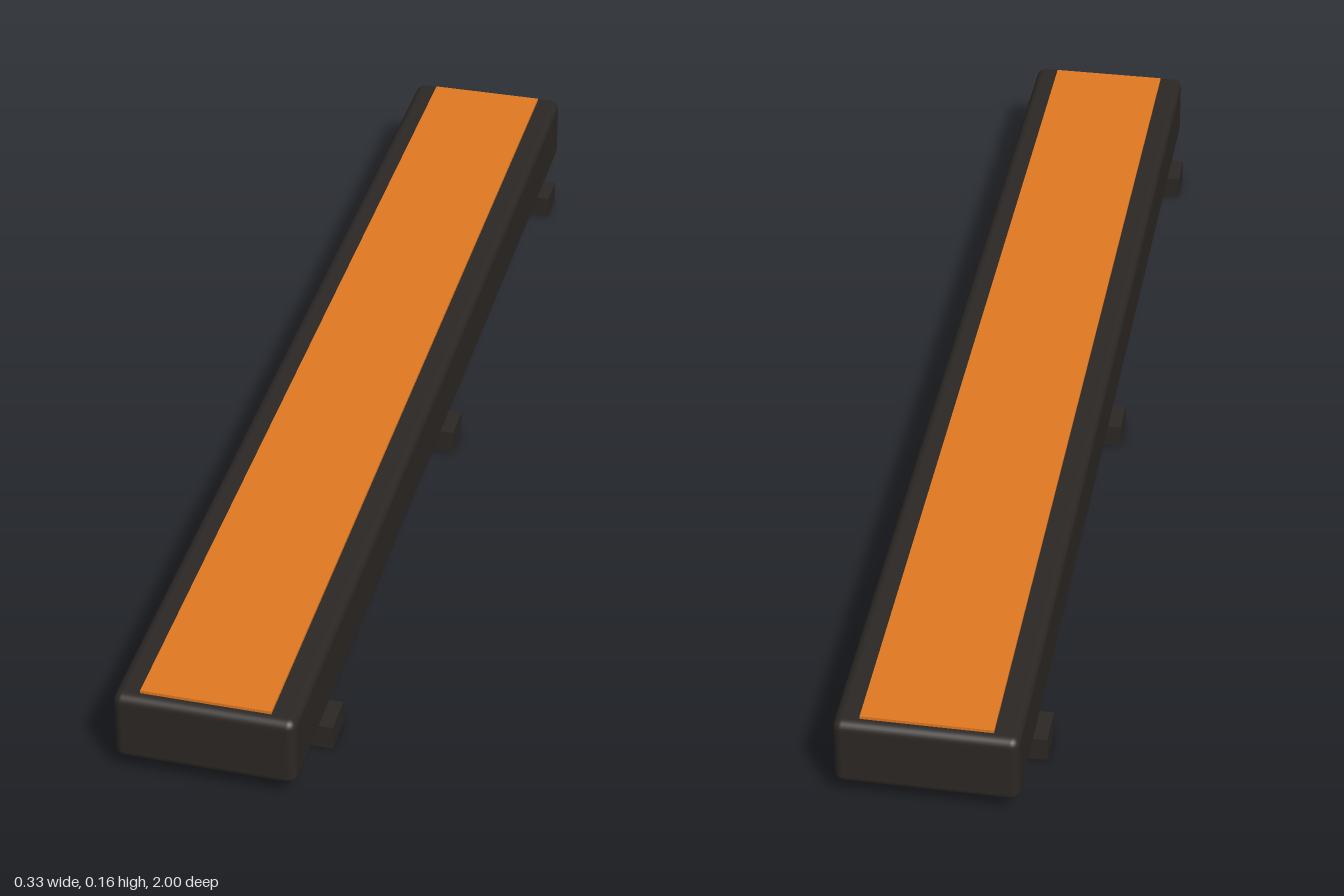
import * as THREE from 'three';
import { RoundedBoxGeometry } from 'three/addons/geometries/RoundedBoxGeometry.js';

export function createModel() {
  const group = new THREE.Group();
  const dark = new THREE.MeshStandardMaterial({ color: 0x2b2724 });
  const orange = new THREE.MeshStandardMaterial({ color: 0xe07820 });

  const add = (name, geometry, material, y, z = 0) => {
    const mesh = new THREE.Mesh(geometry, material);
    mesh.name = name;
    mesh.position.set(0, y, z);
    group.add(mesh);
  };

  // Long housing with softly rounded edges
  add('housing', new RoundedBoxGeometry(0.288, 0.121, 2, 3, 0.015), dark, 0.0905);

  // Thin coloured panel, slightly proud of the housing top
  add('topPanel', new THREE.BoxGeometry(0.206, 0.01, 1.965), orange, 0.151);

  // Three cross bars the housing rests on
  const footGeometry = new THREE.BoxGeometry(0.332, 0.041, 0.066);
  [['frontFoot', 0.83], ['middleFoot', 0], ['backFoot', -0.83]].forEach(([name, z]) =>
    add(name, footGeometry, dark, 0.0205, z));

  return group;
}
